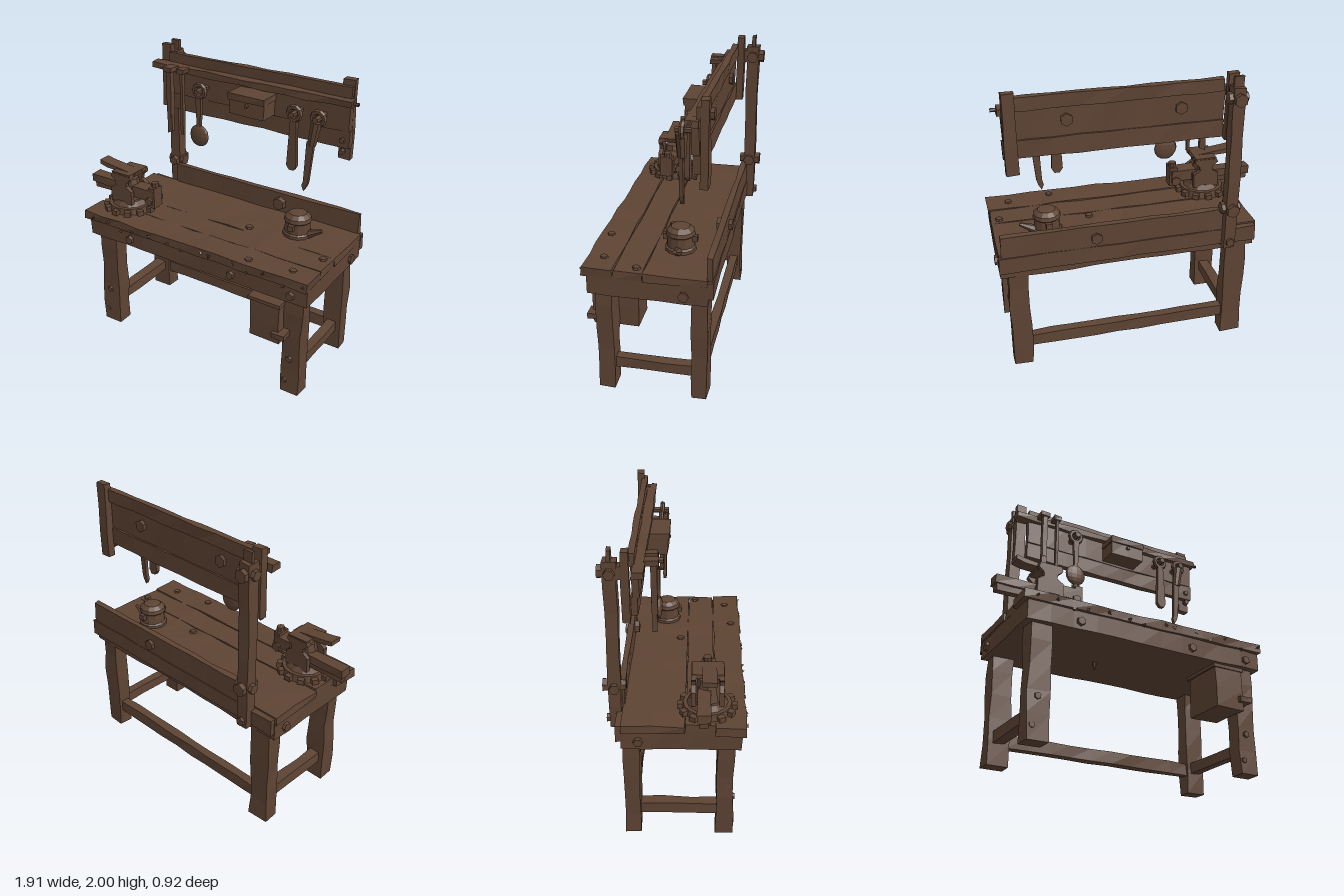
import * as THREE from 'three';

const brown = new THREE.MeshStandardMaterial({ color: 0x5e4434, flatShading: true });
brown.name = 'dark brown';

// repeatable noise in -1..1 from a position
const noise = (x, y, z) => {
  const s = Math.sin(x * 127.1 + y * 311.7 + z * 74.7) * 43758.5453;
  return (s - Math.floor(s)) * 2 - 1;
};

export function createModel() {
  const root = new THREE.Group();
  root.name = 'workbench';
  let parent = root;

  const group = (name) => {
    parent = new THREE.Group();
    parent.name = name;
    root.add(parent);
  };
  const add = (name, geo, x = 0, y = 0, z = 0, rx = 0, ry = 0, rz = 0) => {
    const m = new THREE.Mesh(geo, brown);
    m.name = name;
    m.position.set(x, y, z);
    m.rotation.set(rx, ry, rz);
    parent.add(m);
    return m;
  };
  // worn timber or plain block given by its limits; wear moves the corners a little
  const block = (name, x0, x1, y0, y1, z0, z1, wear = 0.004) => {
    const w = x1 - x0, h = y1 - y0, d = z1 - z0;
    const n = (l) => Math.max(1, Math.round(l / 0.16));
    const g = new THREE.BoxGeometry(w, h, d, n(w), n(h), n(d));
    const cx = (x0 + x1) / 2, cy = (y0 + y1) / 2, cz = (z0 + z1) / 2;
    const p = g.attributes.position;
    for (let i = 0; i < p.count; i++) {
      const a = p.getX(i), b = p.getY(i), c = p.getZ(i);
      const q = [a + cx, b + cy, c + cz].map((v) => Math.round(v * 1000) / 1000);
      const onFloor = q[1] < 0.01;
      p.setXYZ(i, a + wear * noise(q[0], q[1], q[2]),
        b + (onFloor ? 0 : wear * noise(q[1], q[2], q[0])), c + wear * noise(q[2], q[0], q[1]));
    }
    g.computeVertexNormals();
    return add(name, g, cx, cy, cz);
  };
  const cyl = (r0, r1, h, n = 12) => new THREE.CylinderGeometry(r0, r1, h, n);
  // six-sided bolt head facing along an axis
  const bolt = (x, y, z, axis, r = 0.032, h = 0.03) =>
    add('bolt', cyl(r * 0.85, r, h, 6), x, y, z, axis === 'z' ? Math.PI / 2 : 0, 0, axis === 'x' ? Math.PI / 2 : 0);
  // flat outline given thickness, centred on z
  const plate = (name, pts, t, x, y, z, rz = 0) => {
    const g = new THREE.ExtrudeGeometry(new THREE.Shape(pts.map((p) => new THREE.Vector2(p[0], p[1]))), { depth: t, bevelEnabled: false });
    g.translate(0, 0, -t / 2);
    return add(name, g, x, y, z, 0, 0, rz);
  };

  // table top of three planks over a deep apron
  group('tableTop');
  block('frontPlank', -0.84, 0.94, 0.86, 0.92, 0.243, 0.435, 0.006);
  block('middlePlank', -0.81, 0.935, 0.86, 0.918, 0.055, 0.238, 0.005);
  block('backPlank', -0.82, 0.94, 0.86, 0.915, -0.35, 0.05, 0.005);
  block('apron', -0.81, 0.935, 0.735, 0.865, -0.35, 0.41, 0.005);
  block('backRail', -0.81, 0.94, 0.79, 0.9, -0.38, -0.34);
  block('backBoard', -0.585, 0.92, 0.9, 1.055, -0.375, -0.335);
  add('underPeg', cyl(0.018, 0.008, 0.06, 6), -0.13, 0.715, -0.01);
  for (const [x, z] of [[0.27, 0], [0.49, 0.37], [0.79, 0.33], [0.88, 0.1]]) bolt(x, 0.922, z, 'y', 0.028, 0.015);
  for (const x of [-0.45, 0.38, 0.82]) bolt(x, 0.79, 0.415, 'z', 0.032, 0.025);
  bolt(0.32, 0.98, -0.325, 'z', 0.052, 0.05);
  bolt(0.3, 0.97, -0.38, 'z', 0.04, 0.04);
  bolt(-0.815, 0.79, -0.24, 'x', 0.035);
  bolt(0.94, 0.79, -0.2, 'x', 0.035);
  // splinters along the front edge
  for (let i = 0; i < 14; i++) {
    add('splinter', new THREE.TetrahedronGeometry(0.018), -0.78 + i * 0.13 + 0.04 * noise(i, 1, 2),
      0.875 + 0.03 * noise(i, 3, 1), 0.435, i, i * 2, i * 3);
  }

  // legs and stretchers
  group('frame');
  for (const [x0, x1] of [[-0.765, -0.62], [0.755, 0.89]]) {
    block('frontLeg', x0, x1, 0, 0.78, 0.26, 0.37, 0.007);
    block('backLeg', x0, x1, 0, 0.78, -0.345, -0.24, 0.007);
    block('sideStretcher', x0 + 0.035, x1 - 0.035, 0.145, 0.22, -0.25, 0.27);
    bolt((x0 + x1) / 2 - 0.01, 0.27, 0.37, 'z', 0.025, 0.02);
    bolt((x0 + x1) / 2 - 0.04, 0.09, 0.37, 'z', 0.022, 0.02);
  }
  block('backStretcher', -0.64, 0.77, 0.13, 0.215, -0.32, -0.26);

  // bin hanging beside the front leg
  group('bin');
  block('binBody', 0.545, 0.76, 0.41, 0.69, 0.13, 0.43, 0.004);
  block('binRim', 0.53, 0.765, 0.68, 0.705, 0.12, 0.44, 0.002);
  block('binHanger', 0.58, 0.74, 0.7, 0.74, 0.2, 0.36, 0.002);
  block('clip', 0.72, 0.81, 0.46, 0.5, 0.36, 0.46, 0.004);

  // tall post with bolted joints
  group('post');
  block('postBeam', -0.648, -0.568, 0.78, 1.93, -0.43, -0.35);
  block('postTip', -0.64, -0.575, 1.92, 2.0, -0.405, -0.38, 0.002);
  for (const y of [1.08, 1.86]) {
    bolt(-0.608, y, -0.43, 'z', 0.045, 0.07);
    bolt(-0.608, y, -0.345, 'z', 0.04, 0.05);
    bolt(-0.608, y, -0.39, 'x', 0.04, 0.13);
  }
  bolt(-0.608, 0.83, -0.43, 'z', 0.03, 0.04);

  // tool panel
  group('toolPanel');
  block('topBoard', -0.56, 0.835, 1.865, 1.95, -0.29, -0.25);
  block('middleBoard', -0.57, 0.845, 1.665, 1.87, -0.27, -0.225);
  block('lowerBoard', -0.57, 0.85, 1.55, 1.67, -0.28, -0.235);
  block('rail', -0.67, 0.865, 1.835, 1.88, -0.265, -0.19, 0.005);
  block('leftUpright', 0.76, 0.84, 1.46, 1.99, -0.325, -0.275);
  block('rightUpright', -0.645, -0.57, 1.54, 1.99, -0.325, -0.275);
  block('postJoint', -0.64, -0.575, 1.82, 1.9, -0.36, -0.3);
  for (const x of [-0.28, 0.45]) bolt(x, 1.78, -0.275, 'z', 0.042, 0.04);
  for (const y of [1.52, 1.6, 1.86]) bolt(0.8, y, -0.235, 'z', 0.022, 0.03);
  add('railPeg', cyl(0.012, 0.012, 0.07, 6), 0.865, 1.86, -0.22, 0, 0, Math.PI / 2);

  // hanging tools
  group('tools');
  block('chiselShaft', -0.5, -0.462, 1.52, 1.87, -0.16, -0.12, 0.003);
  plate('chiselBlade', [[-0.018, 0.14], [0.018, 0.14], [0.022, 0.01], [-0.02, -0.01]], 0.03, -0.481, 1.41, -0.14);
  block('chiselHook', -0.52, -0.45, 1.85, 1.885, -0.2, -0.11, 0.003);
  block('rod', -0.39, -0.37, 1.41, 1.87, -0.16, -0.13, 0.002);
  block('rodHook', -0.41, -0.355, 1.855, 1.885, -0.2, -0.12, 0.003);
  const ring = (x, y) => {
    add('toolRing', new THREE.TorusGeometry(0.043, 0.018, 6, 10), x, y, -0.14);
    add('toolPeg', cyl(0.02, 0.02, 0.14, 6), x, y, -0.165, Math.PI / 2);
  };
  ring(-0.23, 1.76);
  plate('ladleStem', [[-0.022, 0.21], [0.022, 0.21], [0.014, 0], [-0.014, 0]], 0.025, -0.23, 1.5, -0.13);
  add('ladleBowl', new THREE.SphereGeometry(0.077, 12, 8).scale(1, 1.03, 0.35), -0.23, 1.437, -0.13);
  ring(0.5, 1.75);
  plate('spannerStem', [[-0.022, 0.35], [0.022, 0.35], [0.036, 0.03], [0.02, 0], [-0.015, 0], [-0.036, 0.03]], 0.03, 0.5, 1.36, -0.14);
  ring(0.67, 1.75);
  add('knifeHandle', cyl(0.038, 0.03, 0.16, 8), 0.652, 1.65, -0.13, 0, 0, -0.15);
  plate('knifeBlade', [[-0.027, 0.35], [0.025, 0.35], [0.024, 0.07], [0.018, 0.04], [0, 0], [-0.018, 0.035], [-0.012, 0.07]], 0.025, 0.605, 1.24, -0.125, -0.09);
  block('smallBox', 0.045, 0.31, 1.675, 1.81, -0.225, -0.08, 0.004);
  block('smallBoxLid', 0.04, 0.315, 1.775, 1.82, -0.225, -0.07, 0.003);
  bolt(0.18, 1.75, -0.075, 'z', 0.015, 0.02);

  // round pot on the table
  group('pot');
  const profile = [[0, 0], [0.1, 0], [0.1, 0.02], [0.088, 0.03], [0.085, 0.1], [0.095, 0.11], [0.09, 0.135], [0.06, 0.16], [0, 0.165]];
  add('potBody', new THREE.LatheGeometry(profile.map((p) => new THREE.Vector2(...p)), 12), 0.58, 0.918, -0.11);
  for (const s of [-1, 1]) block('potLug', 0.56, 0.6, 0.98, 1.02, -0.11 + s * 0.095 - 0.015, -0.11 + s * 0.095 + 0.015, 0.002);
  add('potSpout', cyl(0.012, 0.035, 0.14, 6), 0.7, 0.955, -0.11, 0, 0, -1.1);

  // vise on a toothed turntable
  group('vise');
  const vx = -0.61, vz = 0.19;
  add('viseBase', cyl(0.155, 0.165, 0.05, 16), vx, 0.94, vz);
  for (let i = 0; i < 12; i++) {
    const a = (i / 12) * Math.PI * 2;
    add('baseTooth', new THREE.BoxGeometry(0.05, 0.035, 0.045), vx + 0.165 * Math.cos(a), 0.938, vz + 0.165 * Math.sin(a), 0, -a, 0);
  }
  add('turntable', cyl(0.11, 0.135, 0.04, 12), vx, 0.98, vz);
  add('viseBody', cyl(0.06, 0.095, 0.15, 8), vx, 1.07, vz);
  // waisted side cheeks joined by a bridge
  const cheek = [[-0.09, 0], [0.09, 0], [0.09, 0.1], [0.045, 0.13], [0.05, 0.16], [0.085, 0.19], [0.08, 0.215], [-0.075, 0.215], [-0.085, 0.19], [-0.05, 0.16], [-0.045, 0.13], [-0.09, 0.1]];
  for (const s of [-1, 1]) plate('cheek', cheek, 0.03, vx, 0.985, vz + s * 0.088);
  block('bridge', vx - 0.075, vx + 0.08, 1.18, 1.21, 0.09, 0.29, 0.003);
  plate('handle', [[-0.83, 1.245], [-0.78, 1.235], [-0.52, 1.205], [-0.52, 1.19], [-0.77, 1.2], [-0.83, 1.215]], 0.09, 0, 0, vz + 0.01);
  block('slideBar', -0.95, -0.52, 1.035, 1.09, 0.125, 0.21, 0.004);
  block('lowerBar', -0.935, -0.6, 0.99, 1.035, 0.14, 0.195, 0.004);
  block('jawBar', -0.55, -0.37, 1.025, 1.11, 0.14, 0.24, 0.004);
  block('jaw', -0.41, -0.355, 0.985, 1.13, 0.15, 0.24, 0.004);
  add('jawScrew', cyl(0.028, 0.028, 0.18, 8), -0.385, 1.07, vz);
  for (const s of [-1, 1]) bolt(-0.4, 1.03, vz + s * 0.05, 'z', 0.035, 0.03);

  return root;
}
